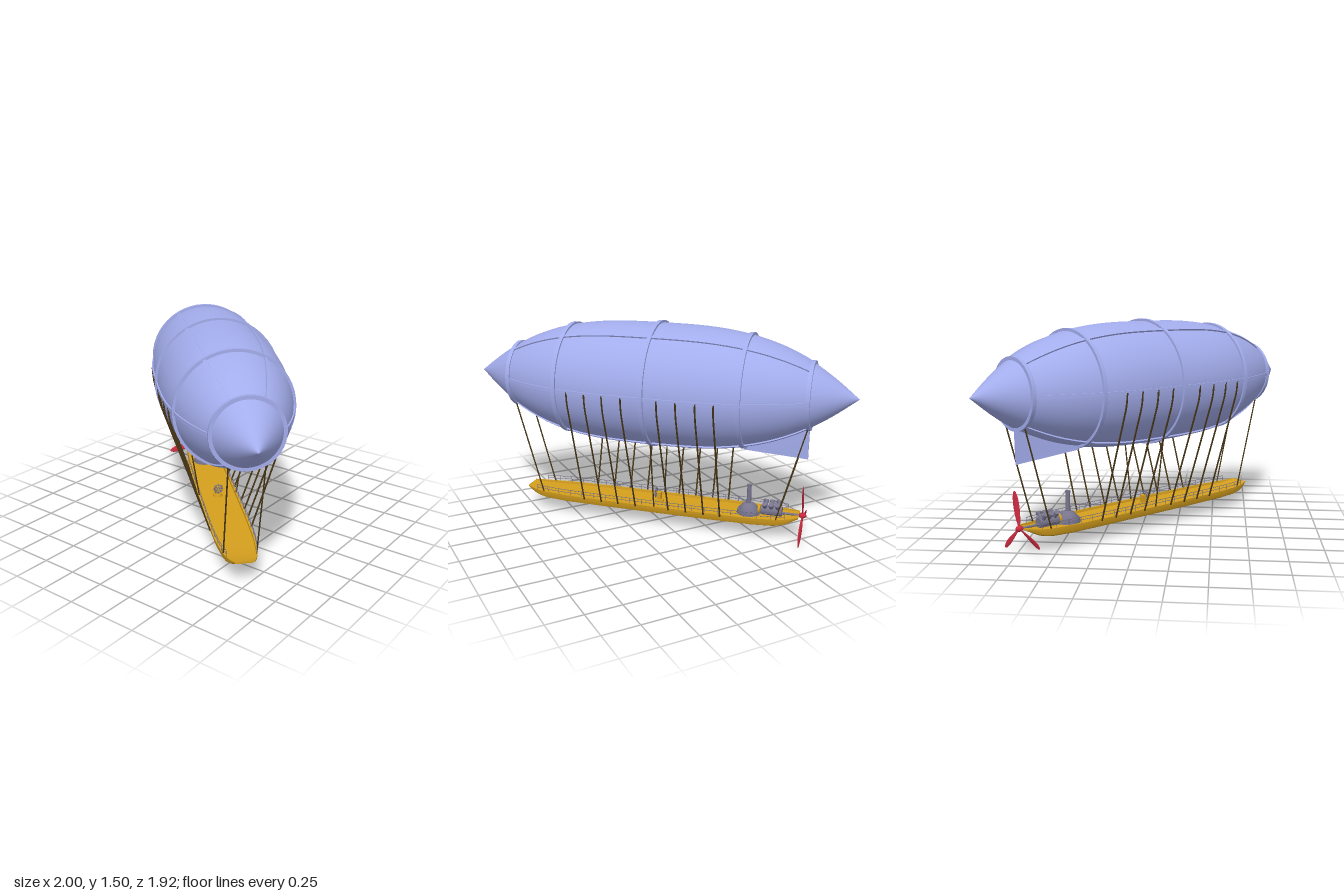
import * as THREE from 'three';
import { toCreasedNormals } from 'three/addons/utils/BufferGeometryUtils.js';

const mat = (color) => new THREE.MeshStandardMaterial({ color });
const cloth = mat(0xa3adec), gold = mat(0xd6a01e), rope = mat(0x4a3818);
const red = mat(0xcc2a40), iron = mat(0x77748c);

const AXIS_Y = 1.05, HALF = 1.386;
// Envelope radius at distance u along the long axis
const radius = (u) => 0.43 * Math.pow(Math.max(0, 1 - Math.pow(Math.abs(u) / HALF, 3)), 1.07);
const V = (x, y, z) => new THREE.Vector3(x, y, z);

function add(parent, name, geometry, material, x = 0, y = 0, z = 0) {
  const mesh = new THREE.Mesh(geometry, material);
  mesh.name = name;
  mesh.position.set(x, y, z);
  parent.add(mesh);
  return mesh;
}

// Skin a list of closed cross-sections that advance along +x
function loft(rows, crease = 0.6) {
  const n = rows[0].length, index = [];
  for (let i = 0; i < rows.length - 1; i++)
    for (let j = 0; j < n; j++) {
      const k = (j + 1) % n, a = i * n + j, b = i * n + k, c = b + n, d = a + n;
      index.push(a, b, d, b, c, d);
    }
  const last = (rows.length - 1) * n;
  for (let j = 1; j < n - 1; j++) index.push(0, j + 1, j, last, last + j, last + j + 1);
  const g = new THREE.BufferGeometry();
  g.setAttribute('position', new THREE.Float32BufferAttribute(rows.flat(2), 3));
  g.setIndex(index);
  return toCreasedNormals(g, crease);
}

// Straight rod between two points
function rod(parent, name, a, b, r, material, sides = 6) {
  const mesh = add(parent, name, new THREE.CylinderGeometry(r, r, a.distanceTo(b), sides), material);
  mesh.position.copy(a).lerp(b, 0.5);
  mesh.quaternion.setFromUnitVectors(V(0, 1, 0), b.clone().sub(a).normalize());
  return mesh;
}

const hullWidth = (u) => 0.145 * Math.pow(Math.max(0, 1 - Math.pow(Math.abs(u) / 1.08, 5)), 0.5);

function envelope() {
  const g = new THREE.Group();
  g.name = 'envelope';
  g.position.y = AXIS_Y;
  // Gas bag
  const profile = [];
  for (let i = 0; i <= 64; i++) {
    const u = -HALF * Math.cos((i / 64) * Math.PI);
    profile.push(new THREE.Vector2(radius(u), u));
  }
  add(g, 'gasBag', new THREE.LatheGeometry(profile, 64).rotateZ(-Math.PI / 2), cloth);
  // Hoops around the bag
  for (const u of [-1.07, -0.645, 0, 0.645, 1.07]) {
    const r = radius(u), h = 0.014;
    const section = [[-0.025, -h], [0.016, -h], [0.016, h], [-0.025, h]]
      .map(([dr, y]) => new THREE.Vector2(r + dr, y));
    const hoop = new THREE.LatheGeometry(section, 48).rotateZ(-Math.PI / 2);
    add(g, 'hoop', toCreasedNormals(hoop, 0.6), cloth, u);
  }
  // Six lengthwise straps
  for (let k = 0; k < 6; k++) {
    const rows = [];
    for (let i = 0; i <= 32; i++) {
      const u = -1.07 + (2.14 * i) / 32, r = radius(u), w = 0.012;
      rows.push([[u, r + 0.01, w], [u, r - 0.02, w], [u, r - 0.02, -w], [u, r + 0.01, -w]]);
    }
    add(g, 'strap', loft(rows), cloth).rotation.x = Math.PI / 6 + (k * Math.PI) / 3;
  }
  return g;
}

// Tail keel: wide at the front, closing to a thin rear edge
function tailFin() {
  const section = (u, top, bottom, wTop, wBottom) =>
    [[u, top, wTop], [u, bottom, wBottom], [u, bottom, -wBottom], [u, top, -wTop]];
  return loft([section(-1.07, 0.86, 0.595, 0.015, 0.004), section(-0.64, 0.74, 0.655, 0.1, 0.1)], 0.1);
}

function gondola() {
  const g = new THREE.Group();
  g.name = 'gondola';
  // Hull with rounded bilge, gunwale and sunken deck
  const half = [[1.03, 0.16, 0.176], [1, 0.145, 0.172], [0.96, 0.124, 0.168], [0.92, 0.11, 0.165],
    [0.86, 0.1, 0.163], [0.7, 0.096, 0.162], [0.4, 0.096, 0.162]];
  const stations = [...half.map(([u, b, t]) => [-u, b, t]), [0, 0.096, 0.162], ...[...half].reverse()];
  const side = [[0.9, 0.75], [0.91, 1], [1, 1], [0.98, 0.6], [0.9, 0.2], [0.7, 0]];
  const ring = [...side, ...[...side].reverse().map(([z, y]) => [-z, y])];
  add(g, 'hull', loft(stations.map(([u, b, t]) =>
    ring.map(([z, y]) => [u, b + (t - b) * y, z * hullWidth(u)]))), gold);
  // Railings
  for (const s of [-1, 1]) {
    const at = (u, y) => V(u, y, s * hullWidth(u) * 0.95);
    for (const y of [0.183, 0.203]) {
      const pts = [];
      for (let i = 0; i <= 16; i++) pts.push(at(-0.94 + (1.88 * i) / 16, y));
      add(g, 'rail', new THREE.TubeGeometry(new THREE.CatmullRomCurve3(pts), 40, 0.002, 5), iron);
    }
    for (let i = 0; i <= 20; i++) {
      const u = -0.94 + (1.88 * i) / 20;
      rod(g, 'railPost', at(u, 0.155), at(u, 0.204), 0.002, iron, 5);
    }
  }
  // Helm: pedestal and spoked wheel
  add(g, 'helmBase', new THREE.CylinderGeometry(0.03, 0.035, 0.02, 16), gold, 0, 0.155, 0);
  add(g, 'helmStand', new THREE.BoxGeometry(0.03, 0.07, 0.035), gold, 0, 0.185, 0);
  const wheel = add(g, 'helmWheel', new THREE.TorusGeometry(0.03, 0.004, 6, 24), iron, 0.025, 0.213, 0);
  wheel.rotation.y = Math.PI / 2;
  for (let i = 0; i < 4; i++) {
    const a = (i * Math.PI) / 4, y = 0.04 * Math.sin(a), z = 0.04 * Math.cos(a);
    rod(g, 'helmSpoke', V(0.025, 0.213 - y, -z), V(0.025, 0.213 + y, z), 0.003, iron);
  }
  rod(g, 'helmAxle', V(0, 0.213, 0), V(0.032, 0.213, 0), 0.006, gold, 8);
  return g;
}

function engine() {
  const g = new THREE.Group();
  g.name = 'engine';
  // Boiler and chimney
  add(g, 'boilerBase', new THREE.CylinderGeometry(0.08, 0.085, 0.03, 24), iron, -0.67, 0.16, 0);
  add(g, 'boiler', new THREE.SphereGeometry(0.075, 24, 12, 0, Math.PI * 2, 0, Math.PI / 2), iron, -0.67, 0.15, 0);
  add(g, 'chimney', new THREE.CylinderGeometry(0.015, 0.017, 0.16, 16), iron, -0.67, 0.28, 0);
  add(g, 'chimneyCap', new THREE.CylinderGeometry(0.018, 0.018, 0.012, 16), iron, -0.67, 0.355, 0);
  // Crankcase with two banks of cylinders
  rod(g, 'crankcase', V(-0.91, 0.18, 0), V(-0.76, 0.18, 0), 0.035, iron, 16);
  for (const s of [-1, 1])
    for (let i = 0; i < 3; i++) {
      const u = -0.88 + i * 0.045;
      rod(g, 'cylinder', V(u, 0.185, 0), V(u, 0.232, s * 0.035), 0.015, iron, 12);
      rod(g, 'cylinderHead', V(u, 0.23, s * 0.034), V(u, 0.242, s * 0.043), 0.018, iron, 12);
    }
  rod(g, 'flywheel', V(-0.755, 0.182, 0), V(-0.74, 0.182, 0), 0.032, gold, 20);
  rod(g, 'driveShaft', V(-1.06, 0.17, 0), V(-0.9, 0.17, 0), 0.008, iron, 10);
  return g;
}

function propeller() {
  const g = new THREE.Group();
  g.name = 'propeller';
  g.position.set(-1.055, 0.17, 0);
  add(g, 'hub', new THREE.SphereGeometry(0.02, 16, 12).scale(1.4, 1, 1), red);
  const blade = new THREE.SphereGeometry(1, 16, 16).scale(0.005, 0.122, 0.027);
  // Narrow the root and twist it
  const p = blade.attributes.position;
  for (let i = 0; i < p.count; i++) {
    const t = p.getY(i) / 0.122, a = 0.35 - 0.2 * t, w = 0.9 + 0.35 * t;
    const x = p.getX(i), z = p.getZ(i) * w;
    p.setXYZ(i, x * Math.cos(a) + z * Math.sin(a), p.getY(i) + 0.126, z * Math.cos(a) - x * Math.sin(a));
  }
  blade.computeVertexNormals();
  for (let i = 0; i < 3; i++) add(g, 'blade', blade, red).rotation.x = -0.21 + (i * Math.PI * 2) / 3;
  return g;
}

function rigging() {
  const g = new THREE.Group();
  g.name = 'rigging';
  const onBag = (u, s, a) => {
    const r = radius(u) + 0.008;
    return V(u, AXIS_Y - r * Math.sin(a), s * r * Math.cos(a));
  };
  for (const s of [-1, 1]) {
    // Side ropes follow the bag, then drop to the gunwale
    for (const k of [-0.49, -0.37, -0.24, -0.11, 0.14, 0.275, 0.405, 0.54]) {
      const path = new THREE.CurvePath();
      const pts = [0, 0.09, 0.18, 0.27, 0.36].map((a) => onBag(k, s, a));
      pts.push(V(k, 0.15, s * hullWidth(k)));
      for (let i = 1; i < pts.length; i++) path.add(new THREE.LineCurve3(pts[i - 1], pts[i]));
      add(g, 'sideRope', new THREE.TubeGeometry(path, 40, 0.006, 6), rope);
    }
    // Ropes from the lower straps at the middle and end hoops
    for (const [u, foot] of [[-1.07, -0.88], [0, 0], [1.07, 0.88]])
      rod(g, 'strapRope', onBag(u, s, Math.PI / 3), V(foot, 0.155, s * hullWidth(foot) * 0.95), 0.005, rope);
  }
  return g;
}

export function createModel() {
  const model = new THREE.Group();
  model.name = 'airship';
  model.add(envelope(), gondola(), engine(), propeller(), rigging());
  add(model, 'tailFin', tailFin(), cloth);
  // The ship points diagonally, nose toward +x and +z
  model.rotation.y = -0.765;
  const root = new THREE.Group();
  root.add(model);
  return root;
}
